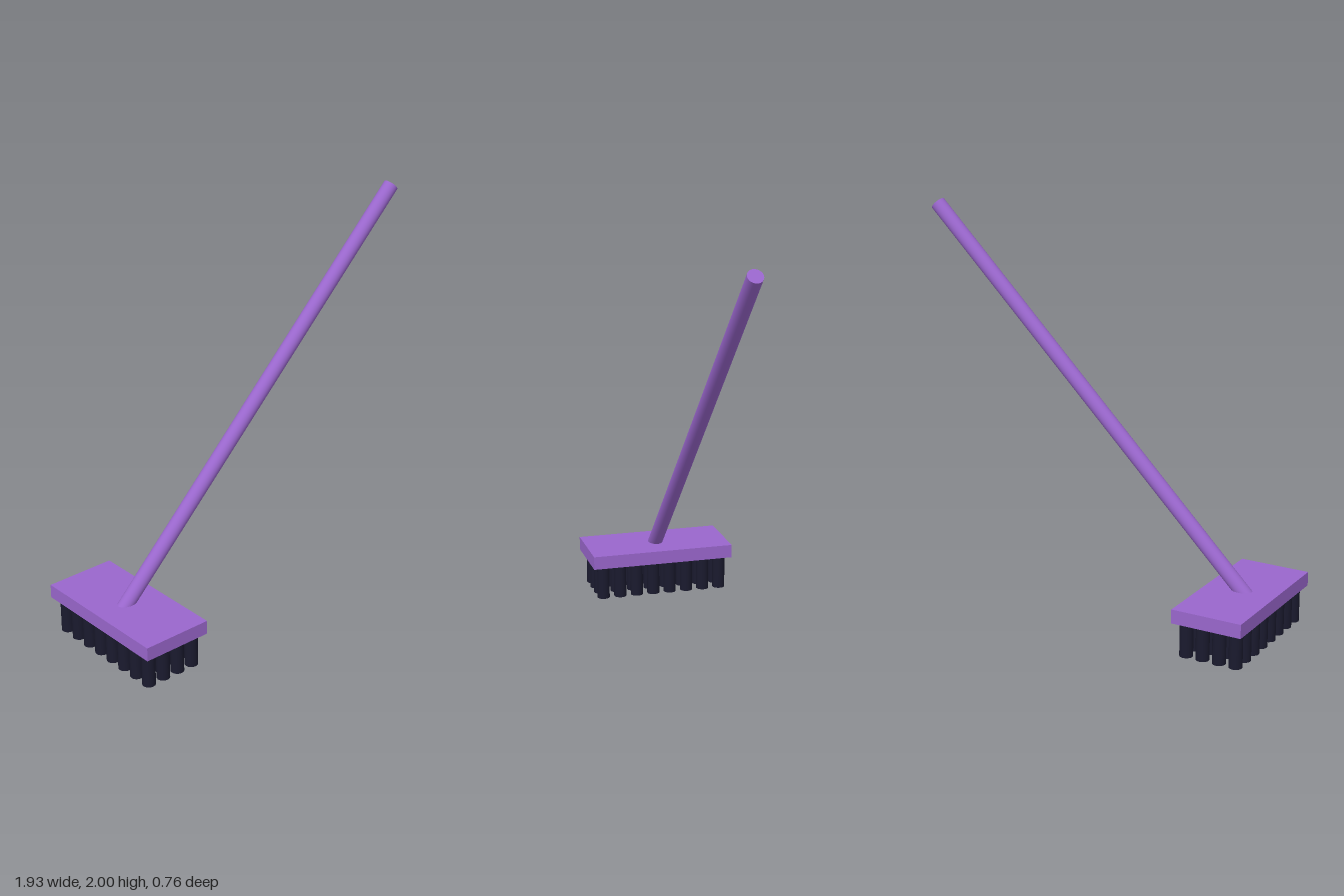
import * as THREE from 'three';

export function createModel() {
  const purple = new THREE.MeshStandardMaterial({ color: 0x9966cc });
  purple.name = 'purple';
  const darkNavy = new THREE.MeshStandardMaterial({ color: 0x1a1a2e });
  darkNavy.name = 'dark navy';

  const model = new THREE.Group();
  model.name = 'scrubBrush';
  const headX = -0.788;

  // Flat head block
  const head = new THREE.Mesh(new THREE.BoxGeometry(0.36, 0.07, 0.76), purple);
  head.name = 'head';
  head.position.set(headX, 0.21, 0);
  model.add(head);

  // Long handle, leaning at 45 degrees out of the head
  const bottom = new THREE.Vector3(-0.823, 0.21, 0);
  const top = new THREE.Vector3(0.938, 1.972, 0);
  const axis = top.clone().sub(bottom);
  const handle = new THREE.Mesh(new THREE.CylinderGeometry(0.038, 0.038, axis.length(), 32), purple);
  handle.name = 'handle';
  handle.position.copy(bottom).add(top).multiplyScalar(0.5);
  handle.quaternion.setFromUnitVectors(new THREE.Vector3(0, 1, 0), axis.normalize());
  model.add(handle);

  // Grid of bristle tufts under the head
  const bristles = new THREE.Group();
  bristles.name = 'bristles';
  const tuftGeometry = new THREE.CylinderGeometry(0.033, 0.033, 0.18, 16);
  const columns = 4, rows = 8;
  for (let i = 0; i < columns; i++) {
    for (let j = 0; j < rows; j++) {
      const tuft = new THREE.Mesh(tuftGeometry, darkNavy);
      tuft.name = 'bristleTuft';
      tuft.position.set(headX + (i - (columns - 1) / 2) * 0.086, 0.09, (j - (rows - 1) / 2) * 0.0914);
      bristles.add(tuft);
    }
  }
  model.add(bristles);

  return model;
}
